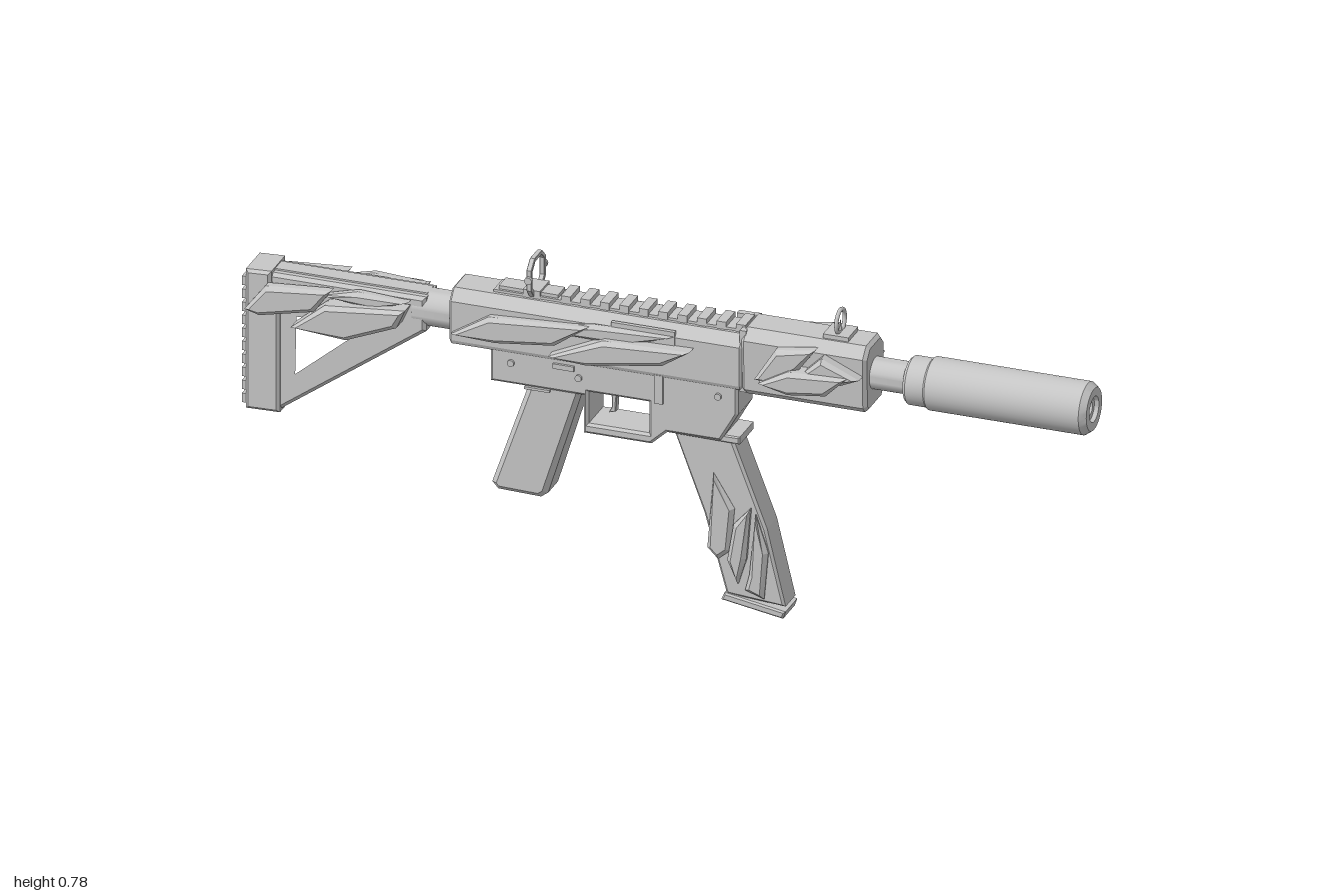
import * as THREE from 'three';
import { toCreasedNormals } from 'three/addons/utils/BufferGeometryUtils.js';

const grey = new THREE.MeshStandardMaterial({ color: 0xc6c6c6 });
const vec = (pts) => pts.map(([x, y]) => new THREE.Vector2(x, y));

export function createModel() {
  const root = new THREE.Group();
  const add = (name, geo, x = 0, y = 0, z = 0) => {
    const m = new THREE.Mesh(geo, grey);
    m.name = name;
    m.position.set(x, y, z);
    root.add(m);
    return m;
  };
  const box = (name, x0, x1, y0, y1, halfZ, z = 0) =>
    add(name, new THREE.BoxGeometry(x1 - x0, y1 - y0, halfZ * 2), (x0 + x1) / 2, (y0 + y1) / 2, z);

  // Extrudes an outline with chamfered edges, centred on z = 0.
  const slab = (pts, half, bevel, holes = []) => {
    const shape = new THREE.Shape(vec(pts));
    holes.forEach((h) => shape.holes.push(new THREE.Path(vec(h))));
    const geo = new THREE.ExtrudeGeometry(shape, {
      depth: 2 * (half - bevel), bevelEnabled: bevel > 0, bevelThickness: bevel,
      bevelSize: bevel, bevelOffset: -bevel, bevelSegments: 1,
    });
    return geo.translate(0, 0, -(half - bevel));
  };
  const side = (name, pts, half, bevel = 0.006, holes) => add(name, slab(pts, half, bevel, holes));

  // Extrudes a (z, y) cross-section from x0 to x1.
  const along = (name, pts, x0, x1, bevel = 0.005) =>
    add(name, slab(pts, (x1 - x0) / 2, bevel).rotateY(Math.PI / 2), (x0 + x1) / 2);
  const mirrored = (half) => [...half, ...half.map(([z, y]) => [-z, y]).reverse()];

  // Turned part along x; profile is [x, radius].
  const turned = (name, profile, y) => {
    const geo = new THREE.LatheGeometry(vec(profile.map(([x, r]) => [r, x])), 32);
    add(name, toCreasedNormals(geo, 0.5).rotateZ(-Math.PI / 2), 0, y);
  };

  // Barrel and suppressor
  turned('barrel', [[0.46, 0], [0.46, 0.037], [0.58, 0.037], [0.58, 0]], 0.625);
  turned('suppressor', [[0.565, 0], [0.565, 0.05], [0.572, 0.056], [0.615, 0.056], [0.62, 0.061],
    [0.985, 0.061], [1, 0.05], [1, 0.03], [0.99, 0.028], [0.99, 0.016], [0.95, 0.016], [0.95, 0]], 0.622);

  // Receivers and handguard
  along('handguard', mirrored([[0.042, 0.545], [0.057, 0.56], [0.06, 0.68], [0.036, 0.705]]), 0.185, 0.482, 0.008);
  along('upperReceiver', mirrored([[0.054, 0.556], [0.058, 0.565], [0.058, 0.66], [0.036, 0.686]]), -0.505, 0.187);
  box('handguardLip', 0.18, 0.195, 0.55, 0.7, 0.05);
  side('lowerReceiver', [[-0.41, 0.57], [-0.41, 0.477], [-0.19, 0.477], [-0.19, 0.385], [-0.03, 0.385],
    [0.008, 0.42], [0.135, 0.42], [0.175, 0.49], [0.175, 0.57]], 0.051, 0.006,
  [[[-0.178, 0.487], [-0.035, 0.487], [-0.035, 0.41], [-0.178, 0.41]]]);
  side('trigger', [[-0.15, 0.495], [-0.12, 0.495], [-0.127, 0.46], [-0.128, 0.43], [-0.145, 0.425],
    [-0.138, 0.44], [-0.138, 0.465]], 0.01, 0.002);

  // Top rail with teeth
  box('railBase', -0.41, 0.18, 0.68, 0.692, 0.028);
  box('railRear', -0.4, -0.26, 0.685, 0.7, 0.022);
  for (let i = 0; i < 10; i++) box('railTooth', -0.25 + i * 0.046, -0.228 + i * 0.046, 0.685, 0.704, 0.03);

  // Grip and magazine
  side('grip', [[-0.32, 0.49], [-0.195, 0.49], [-0.28, 0.215], [-0.297, 0.203], [-0.398, 0.206], [-0.412, 0.222]],
    0.043, 0.012);
  side('magazine', [[0.015, 0.43], [0.155, 0.43], [0.238, 0.214], [0.282, 0.03], [0.143, 0.04], [0.09, 0.23]], 0.037);
  side('magazineCollar', [[0.005, 0.418], [0.018, 0.434], [0.178, 0.434], [0.178, 0.416]], 0.046, 0.003);
  side('magazineFloorPlate', [[0.14, 0.044], [0.284, 0.02], [0.278, 0.002], [0.132, 0.026]], 0.041, 0.004);

  // Stock
  turned('bufferTube', [[-0.6, 0], [-0.6, 0.043], [-0.5, 0.043], [-0.5, 0]], 0.61);
  side('stockFrame', [[-0.95, 0.648], [-0.567, 0.648], [-0.567, 0.565], [-0.918, 0.312], [-0.95, 0.312]], 0.04, 0.008,
    [[[-0.88, 0.56], [-0.7, 0.56], [-0.72, 0.53], [-0.88, 0.4]]]);
  side('stockCap', [[-0.99, 0.652], [-0.93, 0.655], [-0.93, 0.63], [-0.91, 0.6], [-0.91, 0.312], [-0.99, 0.31]],
    0.05, 0.007);
  box('stockTopRib', -0.93, -0.57, 0.64, 0.652, 0.02);
  for (let i = 0; i < 10; i++) box('buttRib', -1, -0.985, 0.322 + i * 0.032, 0.344 + i * 0.032, 0.043);

  // Rear ring sight
  const ring = (name, x, y, r, tube, segs) =>
    add(name, new THREE.TorusGeometry(r, tube, 8, segs).rotateY(Math.PI / 2), x, y);
  const rear = [[0.03, 0.69], [0.046, 0.71], [0.046, 0.76], [0.024, 0.781]];
  const rearHole = [[0.024, 0.7], [0.037, 0.715], [0.037, 0.756], [0.02, 0.772]];
  add('rearSight', slab(mirrored(rear), 0.006, 0.001, [mirrored(rearHole)]).rotateY(Math.PI / 2), -0.32);
  box('rearSightBase', -0.34, -0.3, 0.685, 0.705, 0.03);
  // Front sight
  box('frontSightBase', 0.37, 0.43, 0.695, 0.715, 0.031);
  ring('frontSightRing', 0.4, 0.738, 0.027, 0.005, 28);
  add('frontSightPost', new THREE.ConeGeometry(0.005, 0.035, 8), 0.4, 0.727);

  // Matching details on both flanks
  const plates = {
    stock: [
      [0.04, 0.078, [[-0.985, 0.565], [-0.935, 0.63], [-0.78, 0.642], [-0.82, 0.585], [-0.95, 0.555]]],
      [0.035, 0.092, [[-0.87, 0.545], [-0.79, 0.612], [-0.6, 0.63], [-0.62, 0.585], [-0.74, 0.535]]],
      [0.035, 0.068, [[-0.8, 0.625], [-0.72, 0.647], [-0.6, 0.64], [-0.68, 0.61]]],
    ],
    receiver: [
      [0.05, 0.083, [[-0.495, 0.588], [-0.405, 0.645], [-0.17, 0.658], [-0.25, 0.6], [-0.39, 0.583]]],
      [0.05, 0.095, [[-0.26, 0.578], [-0.13, 0.638], [0.075, 0.643], [0.01, 0.6], [-0.17, 0.57]]],
      [0.05, 0.073, [[-0.34, 0.63], [-0.16, 0.664], [0.03, 0.664], [-0.08, 0.625]]],
    ],
    handguard: [
      [0.05, 0.088, [[0.225, 0.6], [0.275, 0.68], [0.37, 0.695], [0.33, 0.64], [0.27, 0.595]]],
      [0.05, 0.105, [[0.24, 0.6], [0.31, 0.64], [0.45, 0.645], [0.4, 0.595], [0.31, 0.583]]],
      [0.05, 0.092, [[0.335, 0.63], [0.385, 0.68], [0.475, 0.64], [0.43, 0.62]]],
    ],
    magazine: [
      [0.03, 0.05, [[0.1, 0.15], [0.115, 0.335], [0.165, 0.255], [0.155, 0.15], [0.125, 0.125]]],
      [0.03, 0.058, [[0.15, 0.13], [0.165, 0.22], [0.205, 0.265], [0.195, 0.14], [0.175, 0.075]]],
      [0.03, 0.052, [[0.2, 0.1], [0.215, 0.25], [0.245, 0.16], [0.235, 0.045], [0.19, 0.06]]],
    ],
  };
  for (const s of [1, -1]) {
    // Faceted shard plates
    for (const [part, list] of Object.entries(plates)) {
      for (const [z0, z1, pts] of list) {
        const half = (z1 - z0) / 2;
        add(part + 'Shard', slab(pts, half, 0.01), 0, 0, s * (z0 + half));
      }
    }
    // Pins, catches and sight knobs
    for (const [x, y] of [[-0.36, 0.53], [-0.2, 0.52], [0.13, 0.53]])
      add('pin', new THREE.CylinderGeometry(0.008, 0.008, 0.008, 12).rotateX(Math.PI / 2), x, y, s * 0.053);
    box('boltCatch', -0.02, 0.0, 0.49, 0.56, 0.004, s * 0.053);
    box('portCover', -0.12, 0.03, 0.635, 0.675, 0.005, s * 0.057);
    box('selector', -0.26, -0.21, 0.535, 0.547, 0.004, s * 0.053);
    box('gripPanel', -0.33, -0.27, 0.47, 0.476, 0.004, s * 0.046);
    add('sightKnob', new THREE.CylinderGeometry(0.009, 0.009, 0.008, 12).rotateX(Math.PI / 2), -0.32, 0.737, s * 0.049);
  }
  box('chargingTab', 0.135, 0.175, 0.665, 0.69, 0.008, -0.06);
  return root;
}
